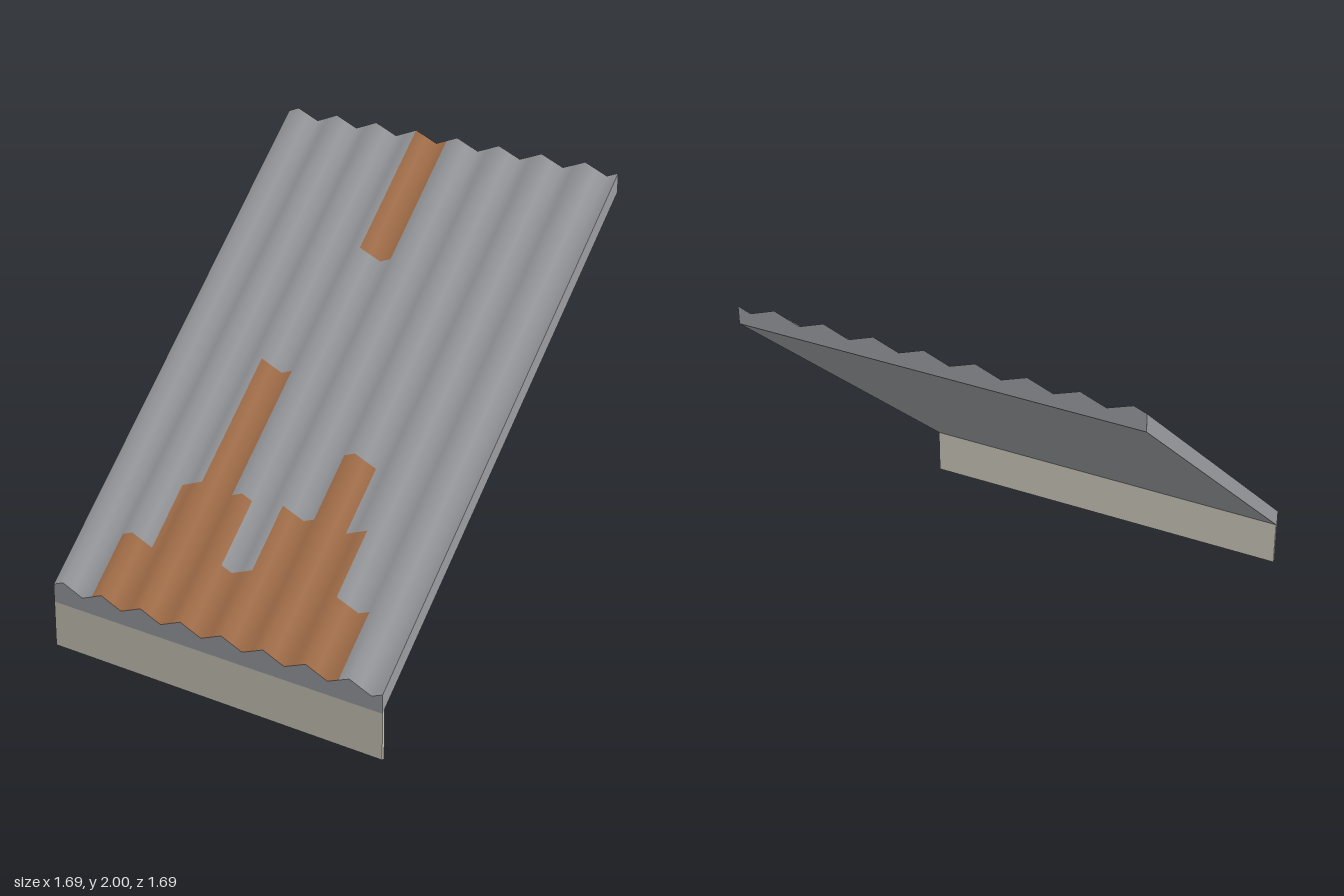
import * as THREE from 'three';

const W = 1.69, H = W / 2;        // panel width and plan depth
const WAVES = 8, COLS = 32, ROWS = 8;
const BOTTOM = 0.205, TOP = 0.287, AMP = 0.021;

const slope = (z) => H - z;       // 45 degree pitch, rising to the back
const ridge = (x) => AMP * Math.sin(((x + H) / W) * WAVES * Math.PI * 2);
const topY = (x, z) => TOP + slope(z) + ridge(x);
const botY = (z) => BOTTOM + slope(z);

// Grid surface: place(u, v) with u to the right and v up as seen from outside
function surface(nu, nv, place) {
  const g = new THREE.PlaneGeometry(1, 1, nu, nv);
  const p = g.attributes.position;
  for (let i = 0; i < p.count; i++) p.setXYZ(i, ...place(p.getX(i) + 0.5, p.getY(i) + 0.5));
  g.computeVertexNormals();
  return g;
}

// Rust patches: [first row, end row, first column, end column], rows counted from the eave
const RUST = [
  [0, 1, 4, 28],
  [1, 2, 7, 14], [1, 2, 17, 25],
  [2, 4, 9, 12], [2, 3, 20, 23],
  [6, 8, 13, 16],
];
const isRust = (r, c) => RUST.some(([r0, r1, c0, c1]) => r >= r0 && r < r1 && c >= c0 && c < c1);

export function createModel() {
  const metal = new THREE.MeshStandardMaterial({ color: 0x9a9ca0 });
  metal.name = 'galvanised metal';
  const rust = new THREE.MeshStandardMaterial({ color: 0xa8724b });
  rust.name = 'rust';
  const board = new THREE.MeshStandardMaterial({ color: 0xc8c4b8 });
  board.name = 'pale board';

  const model = new THREE.Group();
  model.name = 'corrugatedRoof';
  const add = (name, geometry, material) => {
    const mesh = new THREE.Mesh(geometry, material);
    mesh.name = name;
    model.add(mesh);
  };

  // Corrugated top, each cell assigned to metal or rust
  const top = surface(COLS, ROWS, (u, v) => {
    const x = (u - 0.5) * W, z = (0.5 - v) * W;
    return [x, topY(x, z), z];
  });
  for (let k = 0; k < COLS * ROWS; k++) {
    const row = ROWS - 1 - Math.floor(k / COLS);
    top.addGroup(k * 6, 6, isRust(row, k % COLS) ? 1 : 0);
  }
  add('corrugatedSheet', top, [metal, rust]);

  // Wavy front and back ends, and the two straight sides
  for (const s of [1, -1]) {
    add(s > 0 ? 'frontEdge' : 'backEdge', surface(COLS, 1, (u, v) => {
      const x = s * (u - 0.5) * W, z = s * H;
      return [x, v > 0.5 ? topY(x, z) : botY(z), z];
    }), metal);
    add(s > 0 ? 'leftEdge' : 'rightEdge', surface(1, 1, (u, v) => {
      const x = s * H, z = s * (0.5 - u) * W;
      return [x, v > 0.5 ? topY(x, z) : botY(z), z];
    }), metal);
  }

  // Flat underside
  add('underside', surface(1, 1, (u, v) => {
    const z = (v - 0.5) * W;
    return [(u - 0.5) * W, botY(z), z];
  }), metal);

  // Fascia board under the eave, its top cut to the pitch
  const T = 0.014;
  const fascia = new THREE.BoxGeometry(W, BOTTOM, T).translate(0, BOTTOM / 2, H - T / 2);
  const p = fascia.attributes.position;
  for (let i = 0; i < p.count; i++) {
    if (p.getY(i) > BOTTOM / 2) p.setY(i, botY(p.getZ(i)));
  }
  fascia.computeVertexNormals();
  add('fasciaBoard', fascia, board);

  return model;
}
